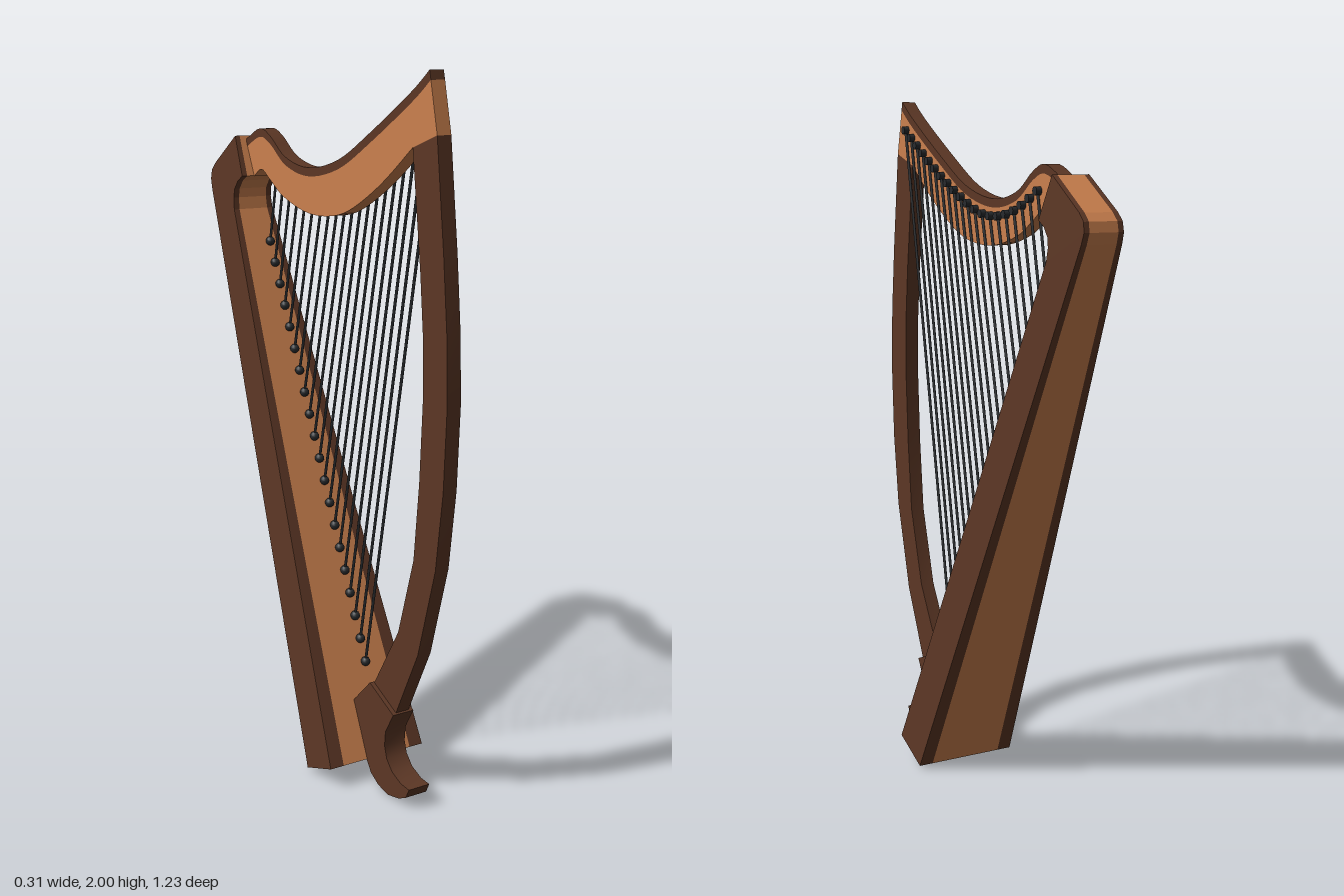
import * as THREE from 'three';
import { toCreasedNormals } from 'three/addons/utils/BufferGeometryUtils.js';

const mat = (name, color) => Object.assign(new THREE.MeshStandardMaterial({ color }), { name });

// Smooth [z, y] points through a few control points
const spline = (pts, n) =>
  new THREE.SplineCurve(pts.map(p => new THREE.Vector2(...p))).getPoints(n).map(p => [p.x, p.y]);

// Extrude a side profile of [z, y] points across x, from x0 to x1
function slab(profile, x0, x1) {
  const shape = new THREE.Shape(profile.map(([z, y]) => new THREE.Vector2(-z, y)));
  const geo = new THREE.ExtrudeGeometry(shape, { depth: x1 - x0, bevelEnabled: false });
  geo.rotateY(Math.PI / 2).translate(x0, 0, 0);
  return geo;
}

// Slab whose two faces follow half-widths that taper along the leaning box
function taperedSlab(profile, xLow, xHigh) {
  const geo = slab(profile, 0, 1), p = geo.attributes.position;
  for (let i = 0; i < p.count; i++) {
    const t = (-0.43 * p.getZ(i) + 0.9 * p.getY(i) + 0.055) / 1.855;
    p.setX(i, p.getX(i) < 0.5 ? xLow(t) : xHigh(t));
  }
  geo.computeVertexNormals();
  return geo;
}

export function createModel() {
  const light = mat('light wood', 0xcb804e);
  const dark = mat('dark wood', 0x5c3725);
  const metal = mat('dark strings', 0x282b2e);
  const model = new THREE.Group();
  const add = (name, geo, material, parent = model) => {
    const mesh = new THREE.Mesh(geo, material);
    mesh.name = name;
    parent.add(mesh);
    return mesh;
  };
  const smooth = geo => toCreasedNormals(geo, 0.5);

  // Soundbox: light core between two dark side walls
  const boxProfile = [
    [0.275, 0.064], [0.143, 0.011], [-0.603, 1.625], [-0.613, 1.655], [-0.608, 1.682], [-0.587, 1.703],
    [-0.452, 1.793], [-0.397, 1.678], [-0.425, 1.662], [-0.445, 1.637], [-0.45, 1.61], [-0.444, 1.575],
  ];
  const inner = t => THREE.MathUtils.lerp(0.113, 0.04, t);
  const outer = t => THREE.MathUtils.lerp(0.156, 0.055, t);
  add('soundboxCore', taperedSlab(boxProfile, t => -inner(t), inner), light);
  add('soundboxLeftWall', taperedSlab(boxProfile, inner, outer), dark);
  add('soundboxRightWall', taperedSlab(boxProfile, t => -outer(t), t => -inner(t)), dark);

  // Curved front pillar
  const pillarOuter = [[0.55, 1.845], [0.587, 1.555], [0.607, 1.36], [0.615, 1.18], [0.605, 0.95],
    [0.577, 0.73], [0.503, 0.467], [0.4, 0.255]];
  const pillarInner = [[0.286, 0.3], [0.407, 0.5], [0.476, 0.73], [0.497, 0.95], [0.508, 1.18],
    [0.503, 1.34], [0.487, 1.5], [0.445, 1.81]];
  add('pillar', smooth(slab([...pillarOuter, ...pillarInner], -0.021, 0.021)), dark);

  // Neck with a dark strip along its top edge
  const top = spline([[0.513, 2], [0.434, 1.945], [0.243, 1.835], [0.085, 1.756], [-0.074, 1.724],
    [-0.206, 1.745], [-0.296, 1.8], [-0.36, 1.818], [-0.444, 1.783]], 40);
  const bottom = spline([[-0.397, 1.676], [-0.35, 1.7], [-0.296, 1.672], [-0.222, 1.632], [-0.1, 1.6],
    [0.016, 1.597], [0.138, 1.623], [0.296, 1.705], [0.445, 1.81]], 40);
  const seam = top.map(([z, y], i) => [z + 0.006 * (1 - i / 40), y - 0.024]);
  add('neck', smooth(slab([...seam, ...bottom, [0.55, 1.845]], -0.021, 0.021)), light);
  add('neckTopStrip', smooth(slab([...top, ...seam.reverse()], -0.021, 0.021)), dark);

  // Scrolled foot
  const foot = [
    [0.407, 0.255], [0.286, 0.307], [0.2, 0.22], [0.272, 0.062], [0.296, 0.03], [0.335, 0.01],
    [0.385, 0.002], [0.44, 0.016], [0.475, 0.035], [0.49, 0.065], [0.45, 0.066], [0.405, 0.082],
    [0.377, 0.11], [0.365, 0.145], [0.369, 0.19],
  ];
  add('foot', smooth(slab(foot, -0.034, 0.034)), dark);

  // Strings, each with a tuning peg on the neck and a pin on the soundbox
  const pegLine = new THREE.SplineCurve([[0.476, 1.915], [0.296, 1.814], [0.138, 1.738], [0, 1.687],
    [-0.11, 1.678], [-0.22, 1.7], [-0.333, 1.75]].map(p => new THREE.Vector2(...p)));
  const strings = new THREE.Group();
  strings.name = 'strings';
  model.add(strings);
  const pegGeo = new THREE.CylinderGeometry(0.012, 0.012, 0.018, 10).rotateZ(Math.PI / 2);
  const pinGeo = new THREE.SphereGeometry(0.014, 10, 8);
  const count = 20;
  for (let i = 0; i < count; i++) {
    const u = i / (count - 1), p = pegLine.getPointAt(u);
    const a = new THREE.Vector3(0.028, p.y, p.x);
    const b = new THREE.Vector3(0.028, 0.313 + 1.167 * u, 0.165 - 0.555 * u);
    add('string', new THREE.TubeGeometry(new THREE.LineCurve3(a, b), 1, 0.0045, 6), metal, strings);
    add('tuningPeg', pegGeo, metal, strings).position.copy(a);
    add('stringPin', pinGeo, metal, strings).position.copy(b);
  }
  return model;
}
